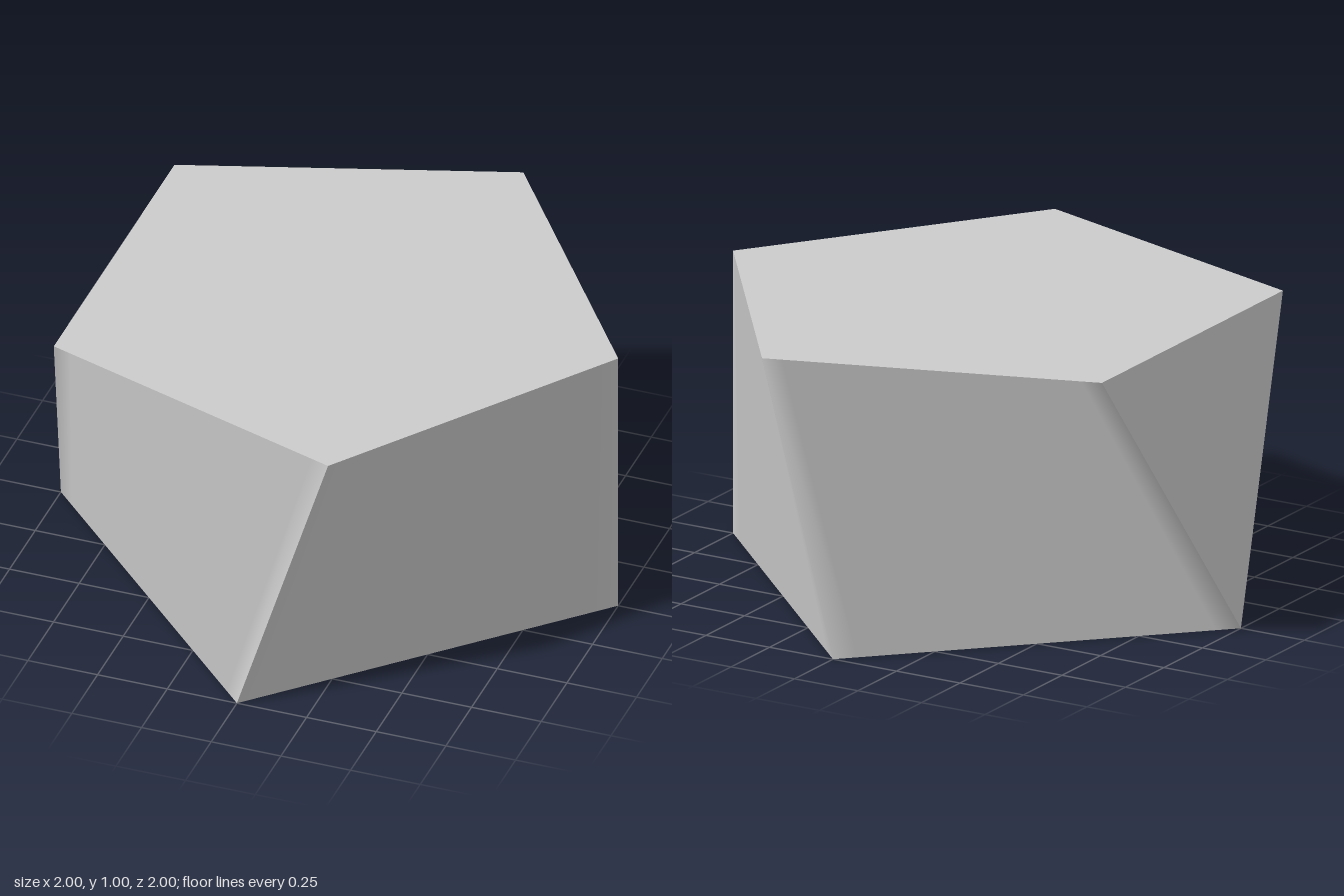
import * as THREE from 'three';

const material = new THREE.MeshStandardMaterial({ color: 0xcccccc });

// Corners of a regular polygon in the ground plane, first corner on +x
const polygon = (n, y) => Array.from({ length: n }, (_, i) => {
  const a = (i / n) * Math.PI * 2;
  return new THREE.Vector3(Math.cos(a), y, Math.sin(a));
});

// One twisted side between a bottom edge a-b and a top edge c-d,
// with narrow support strips beside its two upright edges
function sideGeometry(a, b, c, d) {
  const pos = [], index = [];
  [0, 0.06, 0.94, 1].forEach((t, i) => {
    pos.push(...a.clone().lerp(b, t).toArray(), ...c.clone().lerp(d, t).toArray());
    if (i < 3) {
      const s = i * 2;
      index.push(s, s + 1, s + 3);
      if (!a.equals(b)) index.push(s, s + 3, s + 2);
    }
  });
  const geo = new THREE.BufferGeometry();
  geo.setAttribute('position', new THREE.Float32BufferAttribute(pos, 3));
  geo.setIndex(index);
  geo.computeVertexNormals();
  // Even shading over the wide middle strip
  const n = d.clone().sub(a).cross(b.clone().sub(c)).normalize();
  for (let i = 2; i < 6; i++) geo.attributes.normal.setXYZ(i, n.x, n.y, n.z);
  return geo;
}

export function createModel() {
  const group = new THREE.Group();
  const add = (geo, name) => {
    const mesh = new THREE.Mesh(geo, material);
    mesh.name = name;
    group.add(mesh);
    return mesh;
  };

  // Pentagon top and square base
  add(new THREE.CircleGeometry(1, 5).rotateX(-Math.PI / 2), 'pentagonTop').position.y = 1;
  add(new THREE.CircleGeometry(1, 4).rotateX(Math.PI / 2), 'squareBase');

  // Sides: the square's -x corner serves two pentagon corners
  const top = polygon(5, 1);
  const base = polygon(4, 0);
  const match = [0, 1, 2, 2, 3];
  for (let i = 0; i < 5; i++) {
    const j = (i + 1) % 5;
    add(sideGeometry(base[match[i]], base[match[j]], top[i], top[j]), `side${i + 1}`);
  }
  return group;
}
